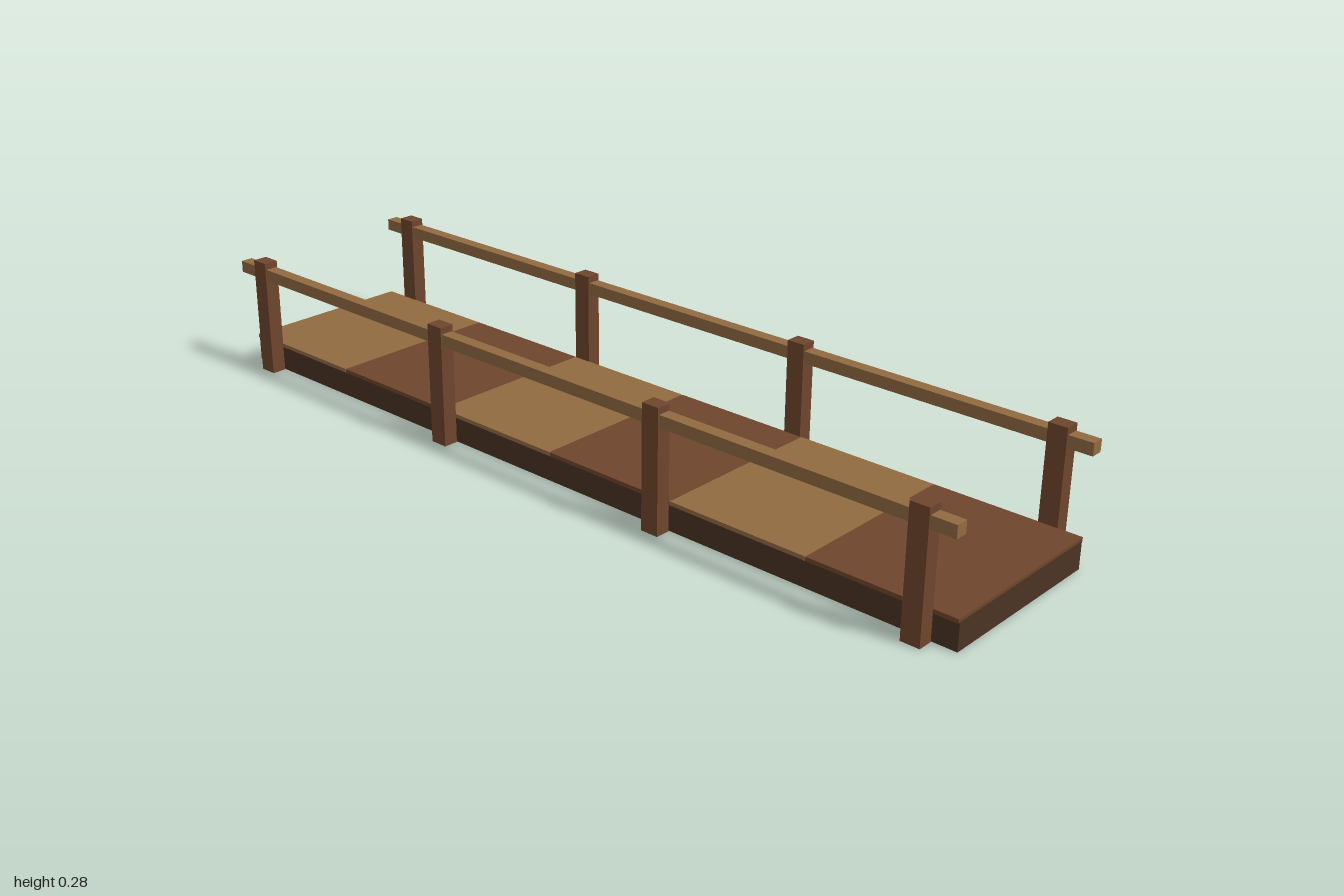
import * as THREE from 'three';

export function createModel() {
  const model = new THREE.Group();
  model.name = 'footbridge';

  const material = (name, color) => {
    const m = new THREE.MeshStandardMaterial({ color });
    m.name = name;
    return m;
  };
  const lightWood = material('light wood', 0x916b40);
  const redWood = material('red wood', 0x6f452d);
  const darkWood = material('dark wood', 0x4a3423);

  // Box given by its size, its centre in x and z, and its underside height
  const box = (name, mat, [w, h, d], x, bottom, z) => {
    const mesh = new THREE.Mesh(new THREE.BoxGeometry(w, h, d), mat);
    mesh.name = name;
    mesh.position.set(x, bottom + h / 2, z);
    model.add(mesh);
  };

  // Solid base under the deck
  box('base', darkWood, [0.412, 0.06, 2], 0, 0, 0);

  // Six deck panels in alternating wood, red at the front
  const count = 6;
  const length = 2 / count;
  for (let i = 0; i < count; i++) {
    const z = 1 - (i + 0.5) * length;
    box('deckPanel', i % 2 ? lightWood : redWood, [0.418, 0.009, length - 0.001], 0, 0.058, z);
  }

  // Handrail and four posts on each side
  for (const side of [-1, 1]) {
    const name = side > 0 ? 'left' : 'right';
    const x = side * 0.225;
    box(name + 'Handrail', lightWood, [0.028, 0.027, 2], x, 0.233, 0);
    for (const z of [-0.925, -0.31, 0.31, 0.925]) {
      box(name + 'Post', redWood, [0.034, 0.275, 0.042], x, 0, z);
    }
  }

  return model;
}
